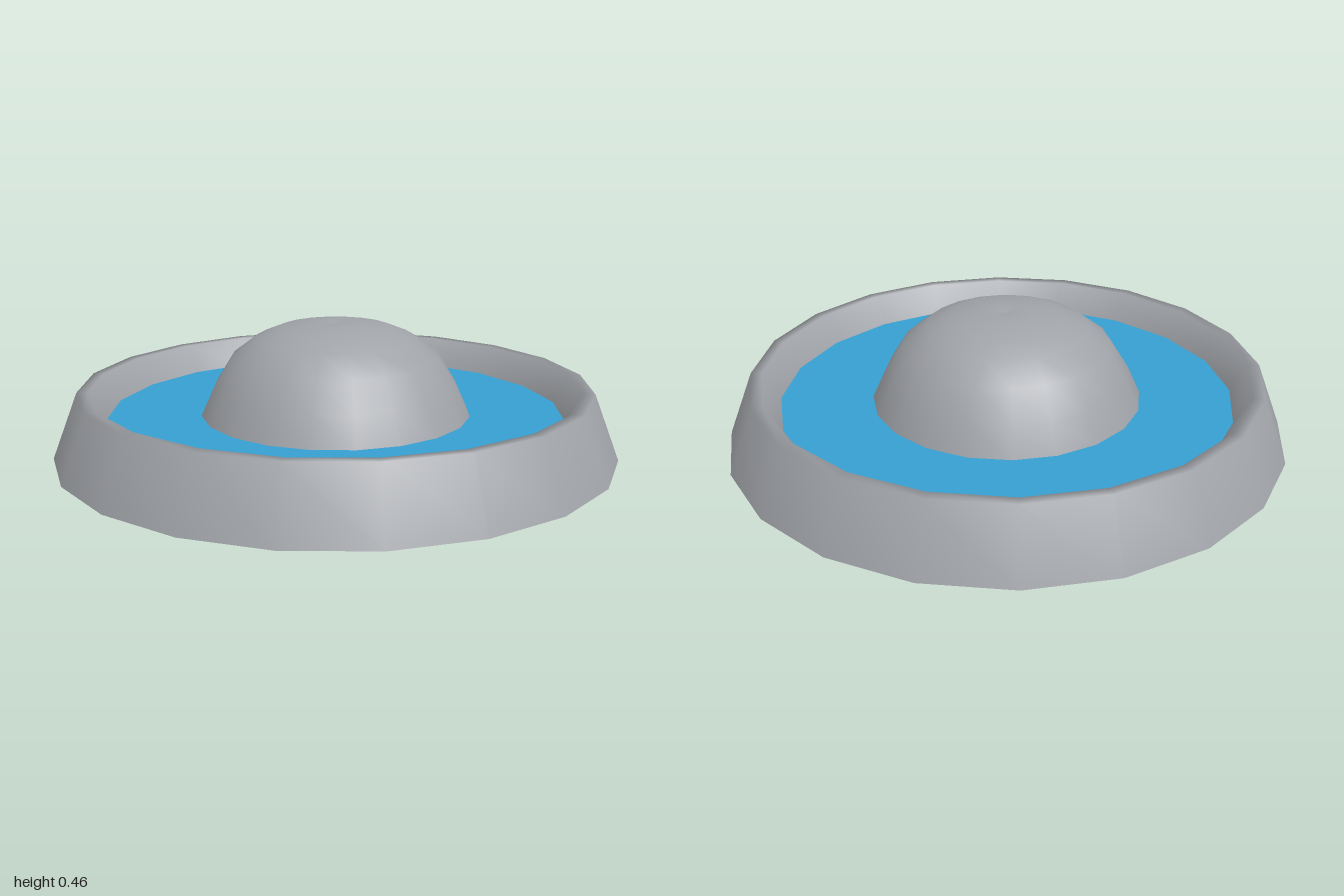
import * as THREE from 'three';

const SIDES = 20;
const WATER_Y = 0.135;

export function createModel() {
  const model = new THREE.Group();
  model.name = 'fountainBasin';

  const stone = new THREE.MeshStandardMaterial({ color: 0xa0a3a8, side: THREE.DoubleSide });
  stone.name = 'grey stone';
  const blue = new THREE.MeshStandardMaterial({ color: 0x369fd0, side: THREE.DoubleSide });
  blue.name = 'water blue';

  const add = (name, geometry, material) => {
    const mesh = new THREE.Mesh(geometry, material);
    mesh.name = name;
    model.add(mesh);
    return mesh;
  };
  const lathe = (points) =>
    new THREE.LatheGeometry(points.map(([r, y]) => new THREE.Vector2(r, y)), SIDES);

  // Open shell: sloping outer wall, narrow rim, then down into the trough
  add('outerWall', lathe([
    [1, 0], [0.91, 0.235], [0.87, 0.235], [0.81, WATER_Y],
    [0.786, 0.067], [0.735, 0.02], [0.69, 0.004], [0.645, 0.003],
  ]), stone);

  // Inner side of the trough rising into a dome with a tiny dimple
  add('centreDome', lathe([
    [0.645, 0.003], [0.6, 0.004], [0.555, 0.02], [0.504, 0.067],
    [0.48, WATER_Y], [0.435, 0.235], [0.37, 0.34], [0.285, 0.405],
    [0.2, 0.44], [0.1, 0.457], [0.035, 0.459], [0, 0.452],
  ]), stone);

  // Flat water ring, reaching slightly through the shell on both edges
  const water = add('water', new THREE.RingGeometry(0.45, 0.83, SIDES), blue);
  water.rotation.x = -Math.PI / 2;
  water.position.y = WATER_Y;

  return model;
}
